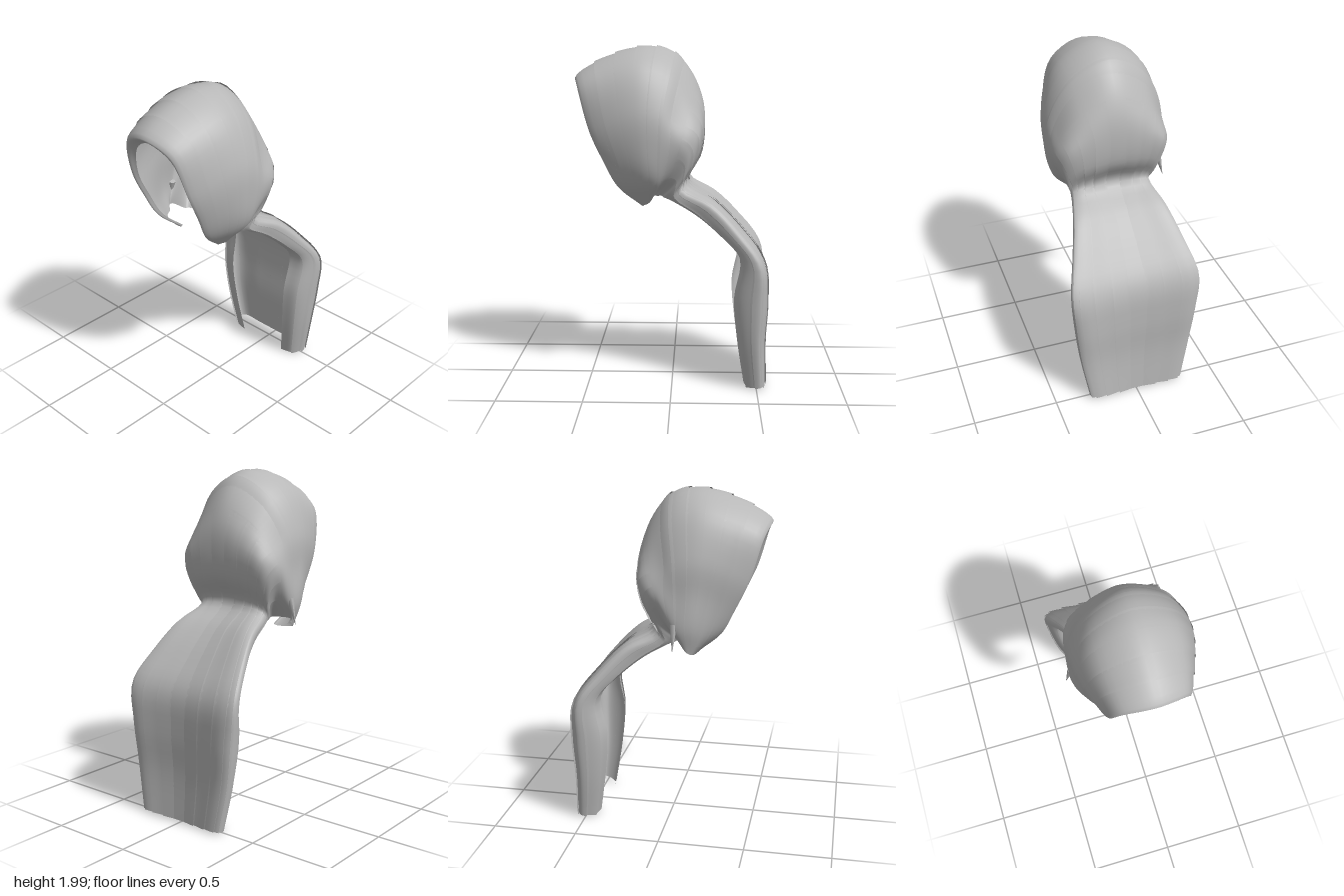
import * as THREE from 'three';

// Half sections from the centre line out to the loose edge: x, y, z per point.
// The first one is the lip turned under the hood's rim.
const hoodFront = [
  [0, 1.78, .525, .13, 1.71, .5, .2, 1.51, .44, .2, 1.35, .365, .18, 1.2, .285, .145, 1.09, .16],
  [0, 1.82, .57, .17, 1.75, .535, .222, 1.52, .468, .22, 1.35, .39, .195, 1.2, .31, .15, 1.08, .17],
  [0, 1.93, .4, .205, 1.83, .38, .285, 1.6, .335, .29, 1.4, .28, .25, 1.22, .23, .17, 1.09, .16],
  [0, 1.997, .16, .22, 1.89, .175, .325, 1.65, .18, .335, 1.45, .17, .3, 1.25, .15, .19, 1.1, .14],
  [0, 1.97, 0, .21, 1.86, .02, .33, 1.63, .06, .345, 1.44, .07, .31, 1.25, .08, .2, 1.12, .12],
];
const hoodBack = [
  [0, 1.87, -.1, .2, 1.77, -.07, .31, 1.59, -.03, .345, 1.46, -.025, .295, 1.27, .03, .2, 1.15, .1],
  [0, 1.72, -.17, .17, 1.66, -.155, .29, 1.55, -.12, .335, 1.44, -.07, .28, 1.28, -.01, .2, 1.15, .08],
  [0, 1.58, -.19, .15, 1.56, -.18, .27, 1.5, -.155, .305, 1.39, -.1, .26, 1.26, -.035, .195, 1.15, .06],
  [0, 1.4, -.17, .14, 1.39, -.16, .23, 1.36, -.135, .265, 1.29, -.085, .24, 1.21, -.03, .195, 1.14, .045],
  [0, 1.24, -.09, .13, 1.235, -.09, .2, 1.22, -.075, .23, 1.19, -.05, .22, 1.15, -.02, .195, 1.125, .01],
];
// Cape stations: back y, back z, edge y, edge z, half width, inner edge x.
const cape = [
  [1.115, -.245, 1.04, -.14, .275, .215],
  [.96, -.4, .92, -.285, .33, .235],
  [.78, -.53, .79, -.395, .38, .23],
  [.55, -.55, .55, -.365, .365, .22],
  [.3, -.54, .3, -.385, .335, .2],
  [.025, -.55, .01, -.43, .285, .165],
];

// C-shaped cape section, boxy at the back, its sides turning forward and inward
function capeRow([yb, zb, ye, ze, w, inner]) {
  const at = (x, t) => [x, yb + (ye - yb) * t, zb + (ze - zb) * t];
  return [at(0, 0), at(w * .45, 0), at(w * .9, .01), at(w, .22), at(w * .86, .82), at(inner, 1)].flat();
}

const rows = [...hoodFront, ...hoodBack, ...cape.map(capeRow)];
const LAST = rows.length - 1;

// Full section from left to right; the right side of the hood flares at its tips
const sections = rows.map((row, r) => {
  const half = [];
  for (let i = 0; i < row.length; i += 3) half.push(new THREE.Vector3(row[i], row[i + 1], row[i + 2]));
  const right = half.slice(1).map((p, i) => {
    const flare = r >= 2 && r <= 5 ? [0, 0, 0, .04, .11][i] : 0;
    return new THREE.Vector3(-p.x - flare, p.y, p.z);
  });
  return new THREE.CatmullRomCurve3([...half.slice(1).reverse(), half[0], ...right]);
});

// Part of the hair sheet between stations r0..r1 and across v0..v1, lifted along its normals
function patch(r0, r1, v0, v1, nu, nv, lift) {
  const pos = [], index = [];
  for (let j = 0; j <= nv; j++) {
    const v = v0 + (v1 - v0) * j / nv;
    const strand = new THREE.CatmullRomCurve3(sections.map(s => s.getPoint(v)));
    for (let i = 0; i <= nu; i++) {
      const p = strand.getPoint((r0 + (r1 - r0) * i / nu) / LAST);
      pos.push(p.x, p.y, p.z);
    }
  }
  for (let j = 0; j < nv; j++) for (let i = 0; i < nu; i++) {
    const a = j * (nu + 1) + i, b = a + nu + 1;
    index.push(a, a + 1, b, a + 1, b + 1, b);
  }
  const geo = new THREE.BufferGeometry();
  geo.setAttribute('position', new THREE.Float32BufferAttribute(pos, 3));
  geo.setIndex(index);
  geo.computeVertexNormals();
  if (lift) {
    const p = geo.attributes.position, n = geo.attributes.normal;
    for (let k = 0; k < p.count; k++) {
      const h = lift((k % (nu + 1)) / nu, Math.floor(k / (nu + 1)) / nv);
      p.setXYZ(k, p.getX(k) + n.getX(k) * h, p.getY(k) + n.getY(k) * h, p.getZ(k) + n.getZ(k) * h);
    }
    geo.computeVertexNormals();
  }
  return geo;
}

export function createModel() {
  const group = new THREE.Group();
  group.name = 'longHair';
  const hair = new THREE.MeshStandardMaterial({ color: 0xb8b8b8, side: THREE.DoubleSide });
  hair.name = 'hairGrey';
  const add = (name, geo) => {
    const mesh = new THREE.Mesh(geo, hair);
    mesh.name = name;
    group.add(mesh);
  };

  // Base sheet: hood over the head running into the cape down the back
  add('hairSheet', patch(0, LAST, 0, 1, 75, 60));

  // Overlapping layers arching across the hood
  [1.75, 2.3, 2.8, 3.4, 4.1].forEach((r, i) =>
    add('hoodLayer' + (i + 1), patch(r, r + .55, .04, .96, 6, 48, (u, v) => .008 * (1 - u) * Math.sin(Math.PI * v))));

  for (const side of [-1, 1]) {
    const name = side < 0 ? 'left' : 'right';
    const span = (a, b) => [.5 + side * a, .5 + side * b].sort((p, q) => p - q);

    // Long locks down each side of the back, each stepping over the next
    [.03, .09, .15, .21, .28, .35].forEach((d, i) => {
      const [v0, v1] = span(d, d + .06);
      add(name + 'Lock' + (i + 1), patch(5.5, LAST, v0, v1, 40, 5,
        (u, v) => .01 * Math.min(1, u * 4) * (side > 0 ? v : 1 - v)));
    });

    // Inner layer of strands behind the hood's side rim
    const [v0, v1] = span(.26, .49);
    add(name + 'InnerStrands', patch(1.6, 4.6, v0, v1, 16, 14, u => -.022 * Math.sin(Math.PI * u)));
  }

  // Thin stray lock hanging outside the right tip
  const stray = new THREE.ConeGeometry(.022, .16, 6);
  stray.rotateX(Math.PI);
  stray.rotateZ(-.25);
  stray.translate(-.355, 1.2, .06);
  add('strayLock', stray);
  return group;
}
